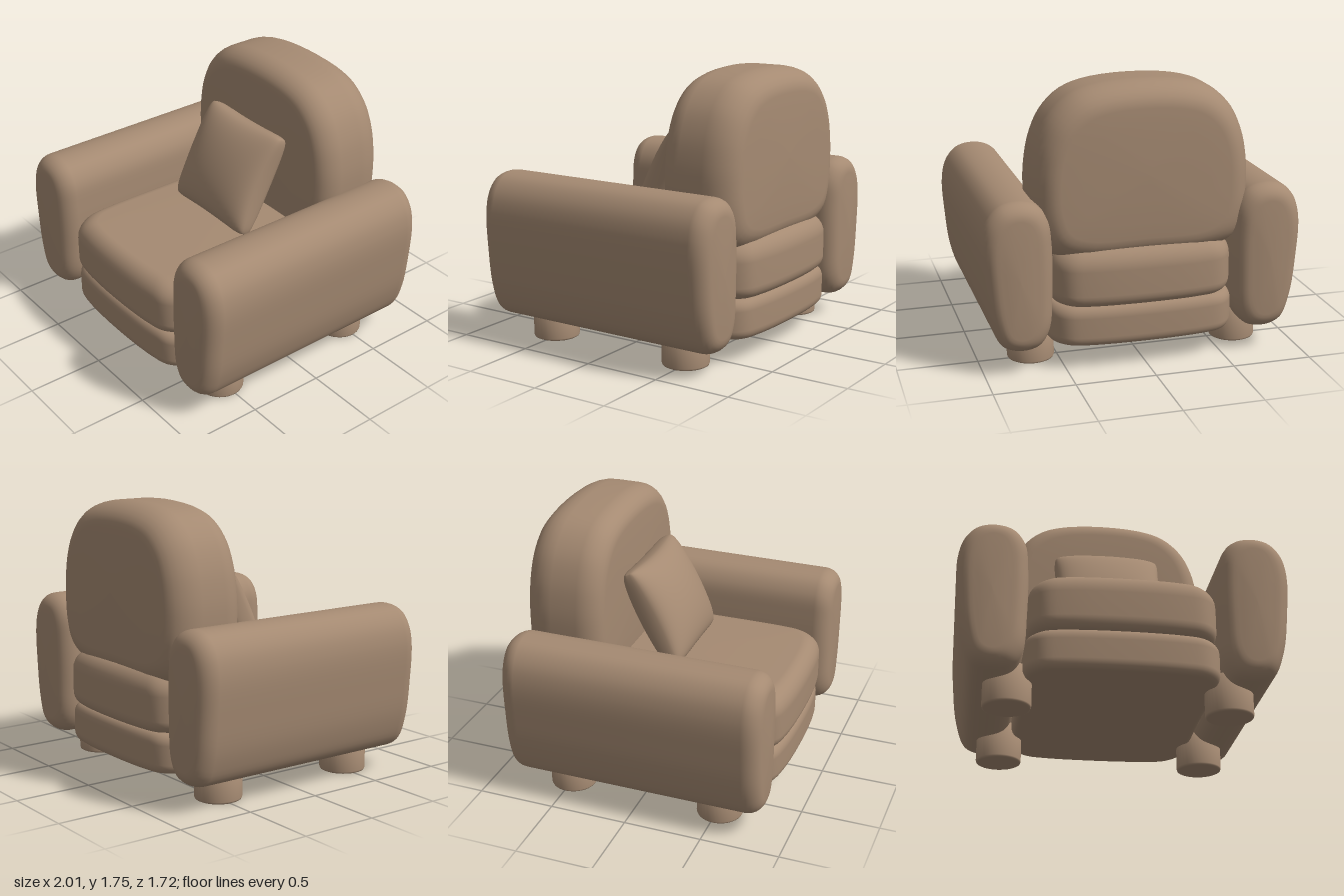
import * as THREE from 'three';
import { mergeVertices } from 'three/addons/utils/BufferGeometryUtils.js';

const V2 = (p) => new THREE.Vector3(p[0], p[1], 0);

// Smooth closed outline through a few points, counter-clockwise
function outline(points, n = 72) {
  return new THREE.CatmullRomCurve3(points.map(V2), true, 'centripetal').getPoints(n).slice(0, n);
}

// Full outline from its right half (bottom to top, ends on the axis)
function mirrored(half) {
  const left = half.slice(1, -1).reverse().map(([x, y]) => [-x, y]);
  return [...half, ...left];
}

// Layers [depth, inset, capScale] of a stuffed form between lo and hi
function puffLayers(lo, hi, bulge = 0.015) {
  const end = ({ at, r, inset }, dir) => {
    const layers = [];
    for (const f of [0.01, 0.4, 0.75]) layers.push([at + dir * bulge * (1 - f * f), inset, f]);
    for (let k = 0; k <= 7; k++) {
      const a = (1 - k / 7) * Math.PI / 2;
      layers.push([at - dir * r * (1 - Math.sin(a)), inset * (1 - Math.cos(a)), 1]);
    }
    return layers;
  };
  return [...end(lo, -1), ...end(hi, 1).reverse()];
}

// Skin the outline through the layers along +z
function loft(pts, layers) {
  const box = new THREE.Box3().setFromPoints(pts);
  const c = box.getCenter(new THREE.Vector3());
  const h = box.getSize(new THREE.Vector3()).multiplyScalar(0.5);
  const n = pts.length, pos = [], idx = [];
  layers.forEach(([d, inset, f], i) => {
    const sx = f * (h.x - inset) / h.x, sy = f * (h.y - inset) / h.y;
    pts.forEach((p, j) => {
      pos.push(c.x + (p.x - c.x) * sx, c.y + (p.y - c.y) * sy, d);
      if (i === layers.length - 1) return;
      const a = i * n + j, b = i * n + (j + 1) % n;
      idx.push(a, b, a + n, b, b + n, a + n);
    });
  });
  // close both ends
  const last = (layers.length - 1) * n;
  for (let j = 1; j < n - 1; j++) idx.push(0, j + 1, j, last, last + j, last + j + 1);
  const g = new THREE.BufferGeometry();
  g.setAttribute('position', new THREE.Float32BufferAttribute(pos, 3));
  g.setIndex(idx);
  g.computeVertexNormals();
  return g;
}

// Square scatter cushion with pinched corners
function pillowGeometry(w, h, t) {
  let g = new THREE.BoxGeometry(2, 2, 2, 28, 28, 1);
  g.deleteAttribute('uv');
  g.deleteAttribute('normal');
  const p = g.attributes.position;
  for (let i = 0; i < p.count; i++) {
    const a = p.getX(i) * Math.PI / 2, b = p.getY(i) * Math.PI / 2;
    const u = Math.sin(a), v = Math.sin(b);
    const puff = Math.pow(Math.max(0, Math.cos(a) * Math.cos(b)), 0.75);
    const corner = 1 - 0.05 * Math.pow(u * v, 8);
    p.setXYZ(i,
      u * w * (1 - 0.05 * (1 - v * v)) * corner,
      v * h * (1 - 0.05 * (1 - u * u)) * corner,
      p.getZ(i) * (0.012 + t * puff));
  }
  g = mergeVertices(g);
  g.computeVertexNormals();
  return g;
}

export function createModel() {
  const model = new THREE.Group();
  model.name = 'armchair';
  const fabric = new THREE.MeshStandardMaterial({ color: 0xa58a72 });
  fabric.name = 'brown fabric';
  const add = (name, geometry) => {
    const mesh = new THREE.Mesh(geometry, fabric);
    mesh.name = name;
    model.add(mesh);
    return mesh;
  };

  // Arms: rounded on top, narrowing towards the bottom
  const arm = [
    [0.576, 0.8], [0.576, 0.5], [0.595, 0.27], [0.66, 0.17], [0.78, 0.145], [0.89, 0.185],
    [0.955, 0.34], [0.99, 0.6], [1.0, 0.85], [0.965, 0.98], [0.89, 1.06], [0.77, 1.083],
    [0.66, 1.05], [0.595, 0.96],
  ].reverse();
  const armLayers = puffLayers(
    { at: -0.832, r: 0.11, inset: 0.1 }, { at: 0.85, r: 0.11, inset: 0.1 }, 0.012);
  add('leftArm', loft(outline([...arm].reverse()), armLayers).clone())
    .geometry.computeVertexNormals();
  add('rightArm', loft(outline(arm.map(([x, y]) => [-x, y])), armLayers));
  for (const name of ['leftArm', 'rightArm']) fixWinding(model.getObjectByName(name).geometry);

  // Backrest
  const back = mirrored([
    [0, 0.66], [0.45, 0.67], [0.6, 0.74], [0.665, 0.9], [0.68, 1.1], [0.672, 1.25], [0.64, 1.41],
    [0.57, 1.56], [0.45, 1.675], [0.3, 1.73], [0, 1.755],
  ]);
  add('backrest', loft(outline(back), puffLayers(
    { at: -0.805, r: 0.2, inset: 0.15 }, { at: -0.288, r: 0.15, inset: 0.12 }, 0.012)));

  // Seat cushion and base, stacked along y
  const seat = mirrored([
    [0, -0.86], [0.35, -0.843], [0.48, -0.81], [0.555, -0.72], [0.576, -0.58], [0.576, 0],
    [0.576, 0.58], [0.555, 0.72], [0.48, 0.81], [0.35, 0.843], [0, 0.86],
  ]);
  add('seatCushion', loft(outline(seat), puffLayers(
    { at: 0.4, r: 0.08, inset: 0.06 }, { at: 0.765, r: 0.13, inset: 0.11 }, 0.008))
    .rotateX(-Math.PI / 2));
  add('seatBase', loft(outline(seat.map(([x, z]) => [x * 1.03, z * 0.985])), puffLayers(
    { at: 0.153, r: 0.06, inset: 0.04 }, { at: 0.405, r: 0.07, inset: 0.05 }, 0.002))
    .rotateX(-Math.PI / 2));

  // Scatter cushion leaning on the backrest
  const pillow = add('pillow', pillowGeometry(0.36, 0.345, 0.15));
  pillow.position.set(0.005, 1.08, -0.075);
  pillow.rotation.set(-0.48, 0, 0);

  // Feet with softened lower rims
  const foot = new THREE.LatheGeometry(
    [[0, 0], [0.135, 0], [0.143, 0.004], [0.147, 0.014], [0.147, 0.24], [0, 0.24]]
      .map(([x, y]) => new THREE.Vector2(x, y)), 36);
  for (const [side, x] of [['left', 0.665], ['right', -0.67]]) {
    add(side + 'FrontFoot', foot).position.set(x, 0, 0.515);
    add(side + 'BackFoot', foot).position.set(x, 0, -0.49);
  }
  return model;
}

// Turn a closed skin outwards if its signed volume is negative
function fixWinding(g) {
  const p = g.attributes.position, ix = g.index.array;
  const [a, b, c] = [0, 1, 2].map(() => new THREE.Vector3());
  let volume = 0;
  for (let i = 0; i < ix.length; i += 3) {
    a.fromBufferAttribute(p, ix[i]);
    b.fromBufferAttribute(p, ix[i + 1]);
    c.fromBufferAttribute(p, ix[i + 2]);
    volume += a.dot(b.cross(c));
  }
  if (volume < 0) for (let i = 0; i < ix.length; i += 3) [ix[i], ix[i + 1]] = [ix[i + 1], ix[i]];
  g.computeVertexNormals();
}
